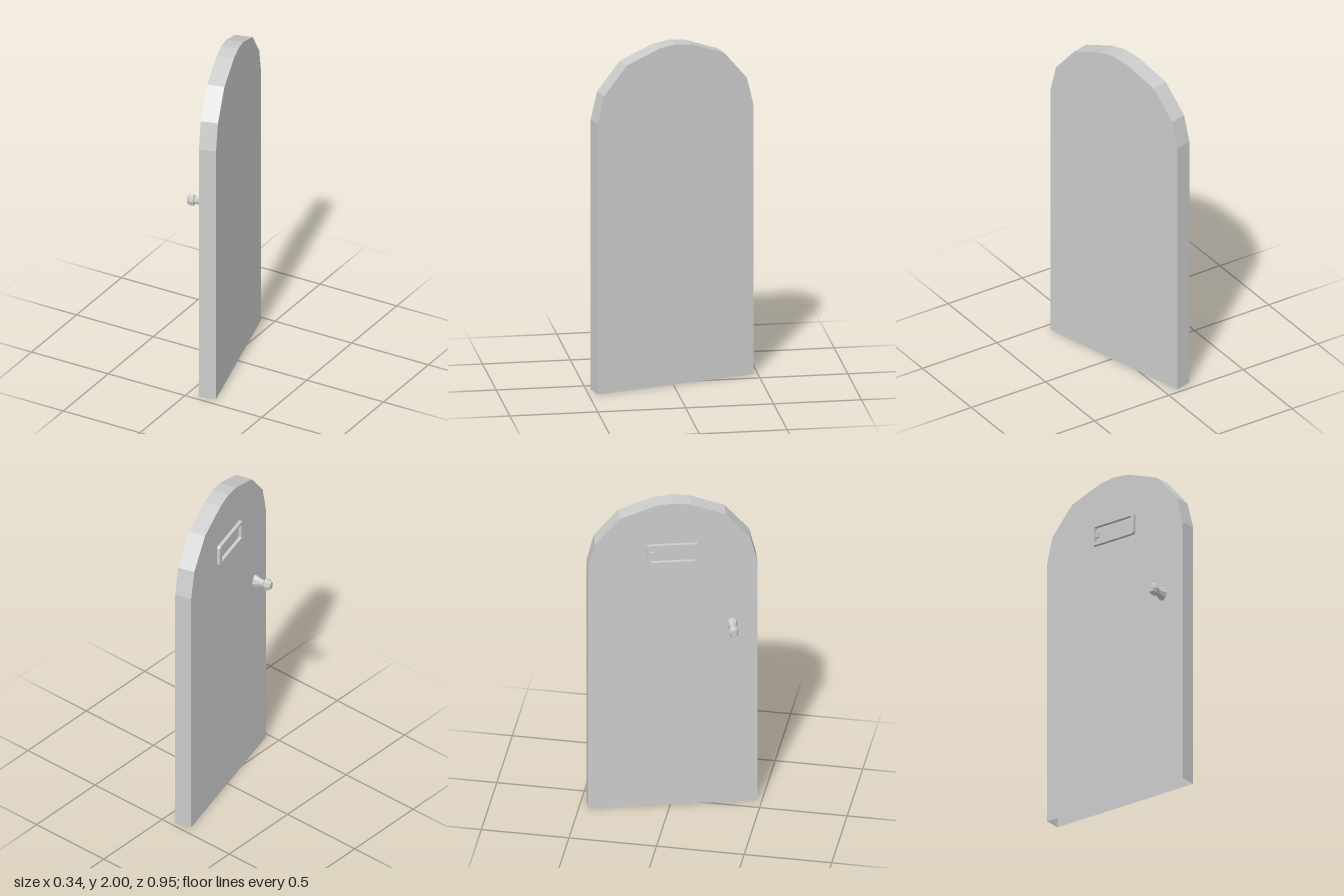
import * as THREE from 'three';

const solid = () => new THREE.MeshStandardMaterial({ color: 0xcccccc, flatShading: true });

function addPart(group, name, geometry, material = solid()) {
  const mesh = new THREE.Mesh(geometry, material);
  mesh.name = name;
  group.add(mesh);
  return mesh;
}

// Rectangle with clipped corners, centred on (0, y)
function clippedRect(PathType, halfW, halfH, y, cut) {
  const points = [
    [halfW, -halfH + cut], [halfW, halfH - cut], [halfW - cut, halfH], [-halfW + cut, halfH],
    [-halfW, halfH - cut], [-halfW, -halfH + cut], [-halfW + cut, -halfH], [halfW - cut, -halfH],
  ];
  return new PathType(points.map(([px, py]) => new THREE.Vector2(px, y + py)));
}

// Arched slab, hollow and open along the bottom edge
function slabGeometry() {
  const half = [[0.478, 0], [0.478, 1.59], [0.438, 1.75], [0.3, 1.912], [0.1, 1.987]];
  const mirrored = half.map(([x, y]) => [-x, y]).reverse();
  const outline = [...half, [0, 2], ...mirrored].map(([x, y]) => new THREE.Vector2(x, y));
  const closed = new THREE.ExtrudeGeometry(new THREE.Shape(outline), { depth: 0.1, bevelEnabled: false });
  closed.translate(0, 0, -0.05);

  // Drop the triangles lying on the ground
  const p = closed.attributes.position;
  const kept = [];
  for (let i = 0; i < p.count; i += 3) {
    if (Math.max(p.getY(i), p.getY(i + 1), p.getY(i + 2)) < 0.001) continue;
    for (let j = i; j < i + 3; j++) kept.push(p.getX(j), p.getY(j), p.getZ(j));
  }
  const open = new THREE.BufferGeometry();
  open.setAttribute('position', new THREE.Float32BufferAttribute(kept, 3));
  open.computeVertexNormals();
  return open;
}

export function createModel() {
  const model = new THREE.Group();
  model.name = 'archedDoor';

  // The door is built facing +z, then swung part way open
  const door = new THREE.Group();
  door.name = 'doorLeaf';
  door.rotation.y = THREE.MathUtils.degToRad(-75);
  model.add(door);

  const slabMaterial = solid();
  slabMaterial.side = THREE.DoubleSide;
  addPart(door, 'slab', slabGeometry(), slabMaterial);

  // Window frame with a small catch on its inner side
  const frame = clippedRect(THREE.Shape, 0.147, 0.065, 1.67, 0.01);
  frame.holes.push(clippedRect(THREE.Path, 0.127, 0.047, 1.67, 0.004));
  addPart(door, 'windowFrame', new THREE.ExtrudeGeometry(frame, { depth: 0.02, bevelEnabled: false }))
    .position.z = 0.05;
  addPart(door, 'windowCatch', new THREE.BoxGeometry(0.022, 0.03, 0.012)).position.set(-0.116, 1.67, 0.056);

  // Knob: flared base, narrow neck and faceted head
  const profile = [[0.042, 0], [0.024, 0.043], [0.022, 0.058], [0.037, 0.068], [0.037, 0.085], [0.024, 0.104], [0, 0.104]];
  const knob = new THREE.LatheGeometry(profile.map(([r, h]) => new THREE.Vector2(r, h)), 8);
  knob.rotateX(Math.PI / 2);
  knob.scale(0.74, 1, 1);
  addPart(door, 'knob', knob).position.set(0.337, 1.18, 0.05);

  return model;
}
